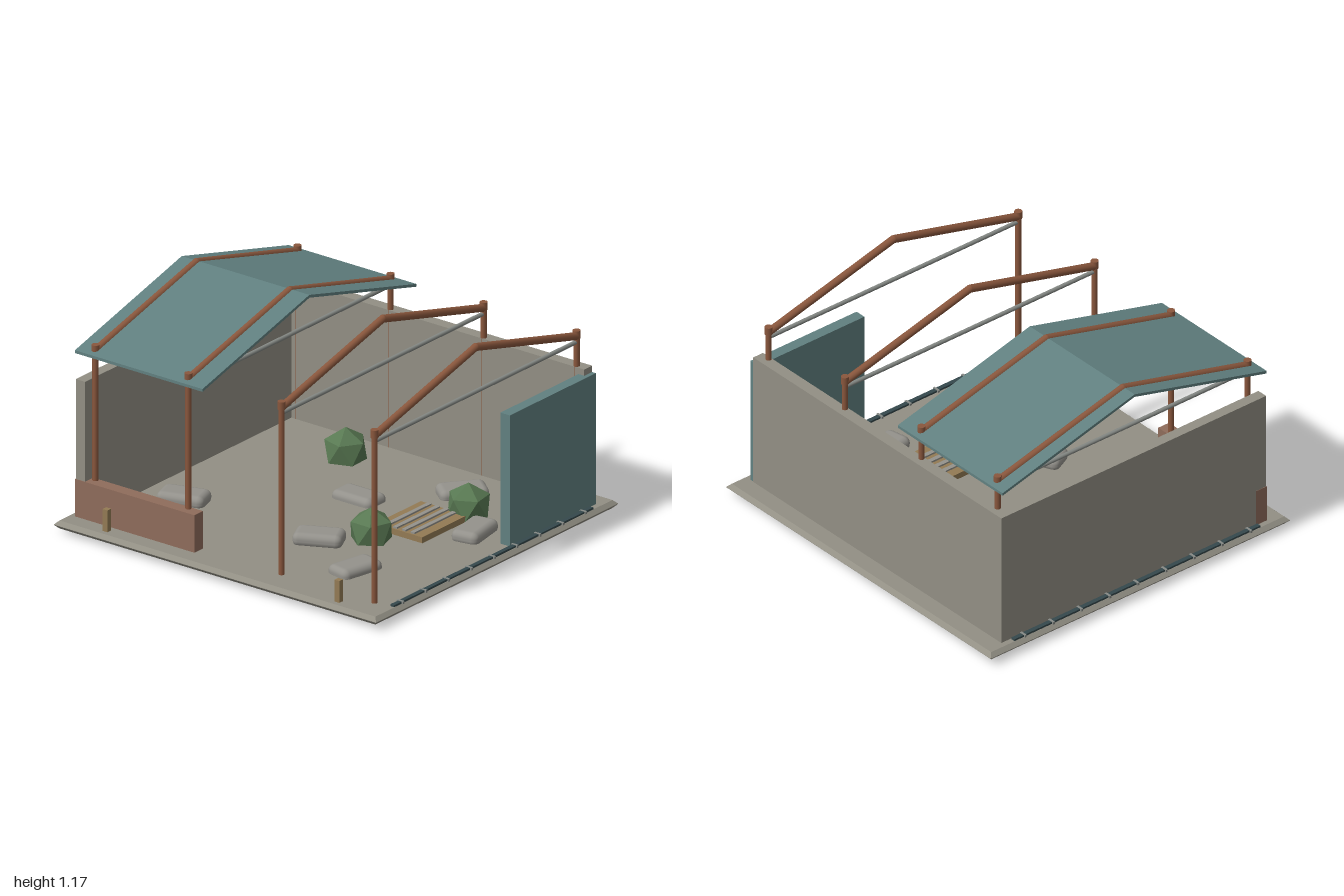
import * as THREE from 'three';
import { RoundedBoxGeometry } from 'three/addons/geometries/RoundedBoxGeometry.js';

const GROUND = 0.067;

export function createModel() {
  const model = new THREE.Group();
  model.name = 'courtyard';

  const mat = (name, color) => {
    const m = new THREE.MeshStandardMaterial({ color });
    m.name = name;
    return m;
  };
  const concrete = mat('concrete', 0x928f84);
  const teal = mat('teal panel', 0x618080);
  const rust = mat('rust brown', 0x8a573d);
  const brick = mat('faded brick', 0x8f6c5b);
  const tan = mat('tan wood', 0x937b54);
  const green = mat('shrub green', 0x587852);
  green.flatShading = true;
  const stone = mat('pale stone', 0x94928c);
  const railDark = mat('dark rail', 0x35484c);
  const steel = mat('grey steel', 0x868a86);

  const add = (name, geometry, material, x = 0, y = 0, z = 0, parent = model) => {
    const mesh = new THREE.Mesh(geometry, material);
    mesh.name = name;
    mesh.position.set(x, y, z);
    parent.add(mesh);
    return mesh;
  };
  // Box given by its limits on each axis
  const span = (name, material, [x0, x1], [y0, y1], [z0, z1], parent = model) =>
    add(name, new THREE.BoxGeometry(x1 - x0, y1 - y0, z1 - z0), material,
      (x0 + x1) / 2, (y0 + y1) / 2, (z0 + z1) / 2, parent);
  // Round bar between two points
  const bar = (name, material, a, b, r, parent) => {
    const dir = b.clone().sub(a);
    const mid = a.clone().add(b).multiplyScalar(0.5);
    const mesh = add(name, new THREE.CylinderGeometry(r, r, dir.length(), 12), material, mid.x, mid.y, mid.z, parent);
    mesh.quaternion.setFromUnitVectors(new THREE.Vector3(0, 1, 0), dir.normalize());
    return mesh;
  };
  const v = (x, y, z) => new THREE.Vector3(x, y, z);

  // Ground slab with bevelled rim
  const rim = 0.02, w = 1 - rim, d = 0.955 - rim;
  const outline = new THREE.Shape([[-w, -d], [w, -d], [w, d], [-w, d]].map(([x, y]) => new THREE.Vector2(x, y)));
  const slab = new THREE.ExtrudeGeometry(outline, {
    depth: 0.002, bevelThickness: rim, bevelSize: rim, bevelSegments: 1,
  });
  slab.rotateX(-Math.PI / 2);
  add('groundSlab', slab, concrete, 0, GROUND - 0.022, 0);

  // Walls
  span('backWall', concrete, [-0.95, 0.925], [0.06, 0.793], [-0.845, -0.782]);
  span('leftWall', concrete, [-0.95, -0.892], [0.06, 0.793], [-0.843, 0.845]);
  span('rightWall', teal, [0.89, 0.949], [0.06, 0.76], [-0.843, -0.165]);
  span('lowFrontWall', brick, [-0.952, -0.212], [0.06, 0.265], [0.78, 0.848]);

  // Four portal frames: posts, joints, rafters and tie bar
  const EAVE = 0.95, RIDGE = 1.155, HALF = 0.797;
  [-0.866, -0.289, 0.289, 0.866].forEach((x) => {
    const frame = new THREE.Group();
    frame.name = 'portalFrame';
    model.add(frame);
    for (const s of [-1, 1]) {
      bar('post', rust, v(x, 0.06, s * HALF), v(x, EAVE, s * HALF), 0.0155, frame);
      bar('joint', rust, v(x, 0.94, s * HALF), v(x, 0.982, s * HALF), 0.02, frame);
      bar('rafter', rust, v(x, EAVE, s * HALF), v(x, RIDGE, 0), 0.02, frame);
    }
    add('ridgeJoint', new THREE.SphereGeometry(0.02, 12, 8), rust, x, RIDGE, 0, frame);
    bar('tieBar', steel, v(x, 0.92, -HALF), v(x, 0.92, HALF), 0.011, frame);
  });

  // Gable roof over the left half
  const gable = new THREE.Shape([
    [0.843, 0.928], [0.843, 0.943], [0, 1.163], [-0.843, 0.943], [-0.843, 0.928], [0, 1.148],
  ].map(([z, y]) => new THREE.Vector2(z, y)));
  const roof = new THREE.ExtrudeGeometry(gable, { depth: 0.792, bevelEnabled: false });
  roof.rotateY(Math.PI / 2);
  add('roof', roof, teal, -0.957, 0, 0);

  // Side tracks with cross ties
  for (const s of [-1, 1]) {
    const track = new THREE.Group();
    track.name = 'sideTrack';
    model.add(track);
    add('rail', new THREE.BoxGeometry(0.024, 0.016, 1.57), railDark, s * 0.967, GROUND + 0.002, 0, track);
    for (let i = -4; i <= 4; i++) {
      add('crossTie', new THREE.BoxGeometry(0.04, 0.014, 0.012), steel, s * 0.967, GROUND + 0.005, i * 0.18, track);
    }
  }

  // Stepping stones: x, z, top height, yaw
  [
    [0, -0.18, 0.11, 0],
    [0.355, -0.545, 0.115, 0.89],
    [0.72, -0.18, 0.122, -1.39],
    [0.18, 0.36, 0.128, 0.45],
    [0.54, 0.535, 0.112, 1.36],
    [-0.66, 0.36, 0.122, 0.3],
  ].forEach(([x, z, top, yaw]) => {
    const rock = add('stone', new RoundedBoxGeometry(0.25, 0.075, 0.15, 2, 0.034), stone, x, top - 0.0375, z);
    rock.rotation.y = yaw;
  });

  // Faceted shrubs, one point up
  [[0.36, 0.18], [0.54, -0.36], [-0.365, -0.54]].forEach(([x, z], i) => {
    const ball = new THREE.IcosahedronGeometry(0.117, 0);
    ball.rotateZ(-Math.atan(2 / (1 + Math.sqrt(5))));
    add('shrub', ball, green, x, 0.118, z).rotation.y = 0.3 + i * 0.5;
  });

  // Low wooden platform with slats
  span('platform', tan, [0.3, 0.588], [0.06, 0.098], [-0.288, 0.068]);
  for (let i = 0; i < 4; i++) {
    add('slat', new THREE.BoxGeometry(0.024, 0.014, 0.34), stone, 0.36 + i * 0.054, 0.1, -0.11);
  }

  // Marker stakes at the front
  for (const s of [-1, 1]) {
    add('stake', new THREE.BoxGeometry(0.03, 0.12, 0.03), tan, s * 0.72, 0.122, 0.893);
  }

  return model;
}
